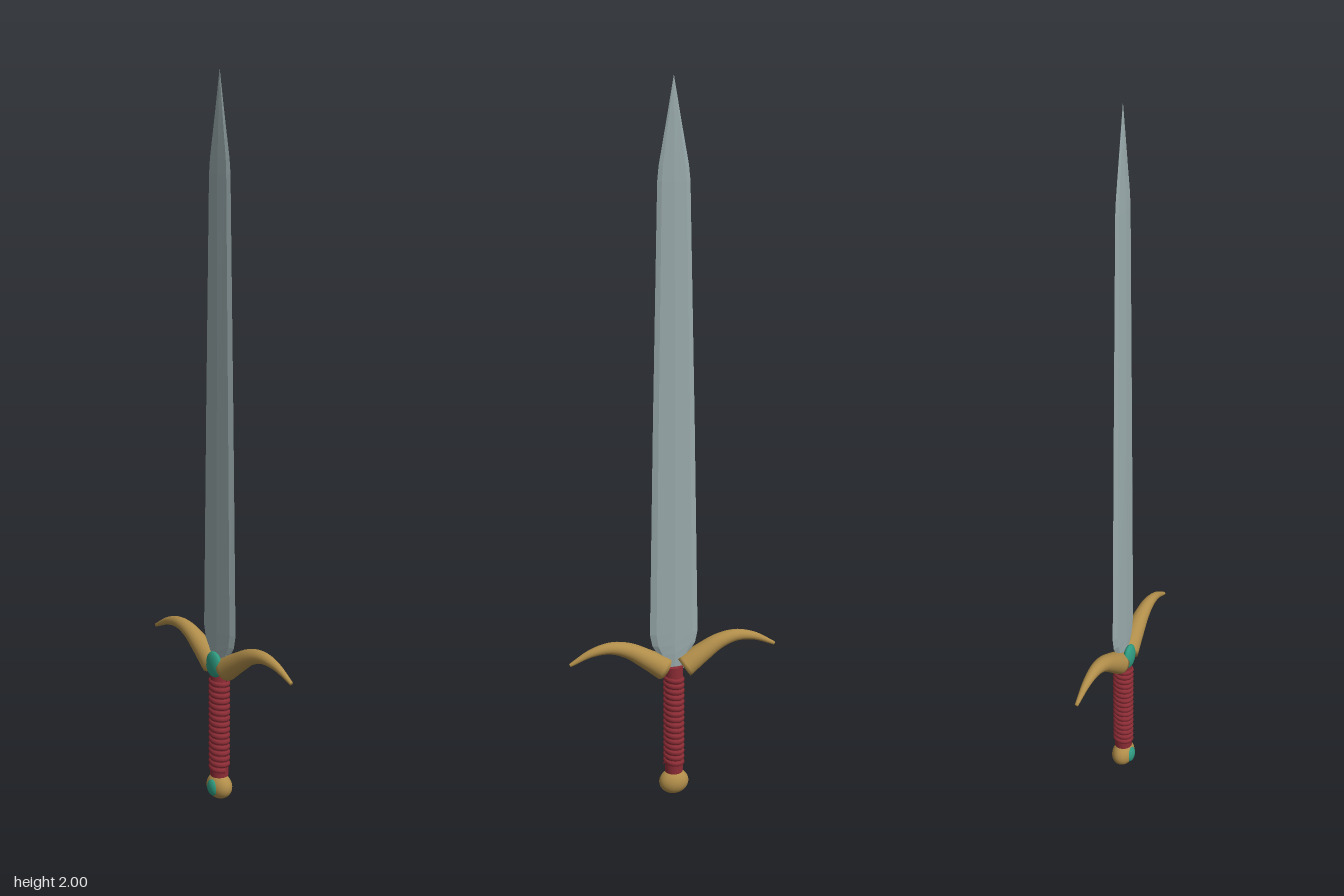
import * as THREE from 'three';

const material = (color) => new THREE.MeshStandardMaterial({ color });
const steel = material(0x9aabad);
steel.flatShading = true;
const gold = material(0xb08d4a);
const leather = material(0x8c2c35);
const jade = material(0x2f9a80);

function add(parent, name, geometry, mat, x = 0, y = 0, z = 0) {
  const mesh = new THREE.Mesh(geometry, mat);
  mesh.name = name;
  mesh.position.set(x, y, z);
  parent.add(mesh);
  return mesh;
}

// Joins equal-sized rings of points (counter-clockwise about the travel direction) and caps the ends
function loft(rings) {
  const n = rings[0].length;
  const positions = rings.flat().flatMap((p) => p.toArray());
  const index = [];
  for (let r = 0; r < rings.length - 1; r++) {
    for (let i = 0; i < n; i++) {
      const a = r * n + i, b = r * n + (i + 1) % n;
      index.push(a, b, b + n, a, b + n, a + n);
    }
  }
  const last = (rings.length - 1) * n;
  for (let i = 1; i < n - 1; i++) {
    index.push(0, i + 1, i, last, last + i, last + i + 1);
  }
  const geometry = new THREE.BufferGeometry();
  geometry.setAttribute('position', new THREE.Float32BufferAttribute(positions, 3));
  geometry.setIndex(index);
  geometry.computeVertexNormals();
  return geometry;
}

// Bevelled blade with a shallow central ridge: [height, half width, half thickness]
function bladeGeometry() {
  const stations = [
    [0.39, 0.03, 0.009], [0.44, 0.047, 0.011], [0.465, 0.062, 0.011], [0.5, 0.069, 0.011],
    [1.1, 0.058, 0.01], [1.74, 0.044, 0.008], [1.78, 0.04, 0.007], [1.9, 0.018, 0.004], [2, 0.0004, 0.0004],
  ];
  const section = [[1, 0], [0.75, -0.65], [0, -1], [-0.75, -0.65], [-1, 0], [-0.75, 0.65], [0, 1], [0.75, 0.65]];
  return loft(stations.map(([y, w, t]) => section.map(([x, z]) => new THREE.Vector3(x * w, y, z * t - 0.001))));
}

// Tapered horn swept along an arch
function hornGeometry(side) {
  const path = new THREE.CatmullRomCurve3([
    [0.028, 0.395], [0.08, 0.43], [0.13, 0.46], [0.18, 0.473], [0.235, 0.465], [0.297, 0.435],
  ].map(([x, y]) => new THREE.Vector3(x * side, y, -0.002)));
  const steps = 28, sides = 20;
  const rings = [];
  for (let s = 0; s <= steps; s++) {
    const t = s / steps;
    const p = path.getPointAt(t), d = path.getTangentAt(t);
    const across = new THREE.Vector3(-d.y, d.x, 0);
    const radius = 0.034 - 0.029 * t;
    rings.push(Array.from({ length: sides }, (_, i) => {
      const a = (i / sides) * Math.PI * 2;
      return p.clone().addScaledVector(across, Math.cos(a) * radius)
        .add(new THREE.Vector3(0, 0, Math.sin(a) * radius));
    }));
  }
  return loft(rings);
}

// Core wound with one continuous cord
function addGrip(parent) {
  const grip = new THREE.Group();
  grip.name = 'grip';
  add(grip, 'gripCore', new THREE.CylinderGeometry(0.026, 0.026, 0.33, 24), leather, 0, 0.235);
  const turns = 16, points = [];
  for (let i = 0; i <= turns * 12; i++) {
    const a = (i / 12) * Math.PI * 2;
    points.push(new THREE.Vector3(Math.cos(a) * 0.022, 0.09 + 0.275 * i / (turns * 12), Math.sin(a) * 0.022));
  }
  const cord = new THREE.TubeGeometry(new THREE.CatmullRomCurve3(points), turns * 20, 0.009, 8);
  add(grip, 'gripWrap', cord, leather);
  parent.add(grip);
}

export function createModel() {
  const sword = new THREE.Group();
  sword.name = 'sword';

  add(sword, 'blade', bladeGeometry(), steel);
  add(sword, 'leftGuard', hornGeometry(1), gold);
  add(sword, 'rightGuard', hornGeometry(-1), gold);
  addGrip(sword);

  // Oval stones and the rounded pommel
  const ball = new THREE.SphereGeometry(1, 32, 20);
  add(sword, 'guardGem', ball, jade, 0, 0.405, 0.019).scale.set(0.031, 0.038, 0.014);
  add(sword, 'pommel', ball, gold, 0, 0.037, 0).scale.set(0.043, 0.037, 0.032);
  add(sword, 'pommelGem', ball, jade, 0, 0.037, 0.024).scale.set(0.021, 0.024, 0.012);

  return sword;
}
